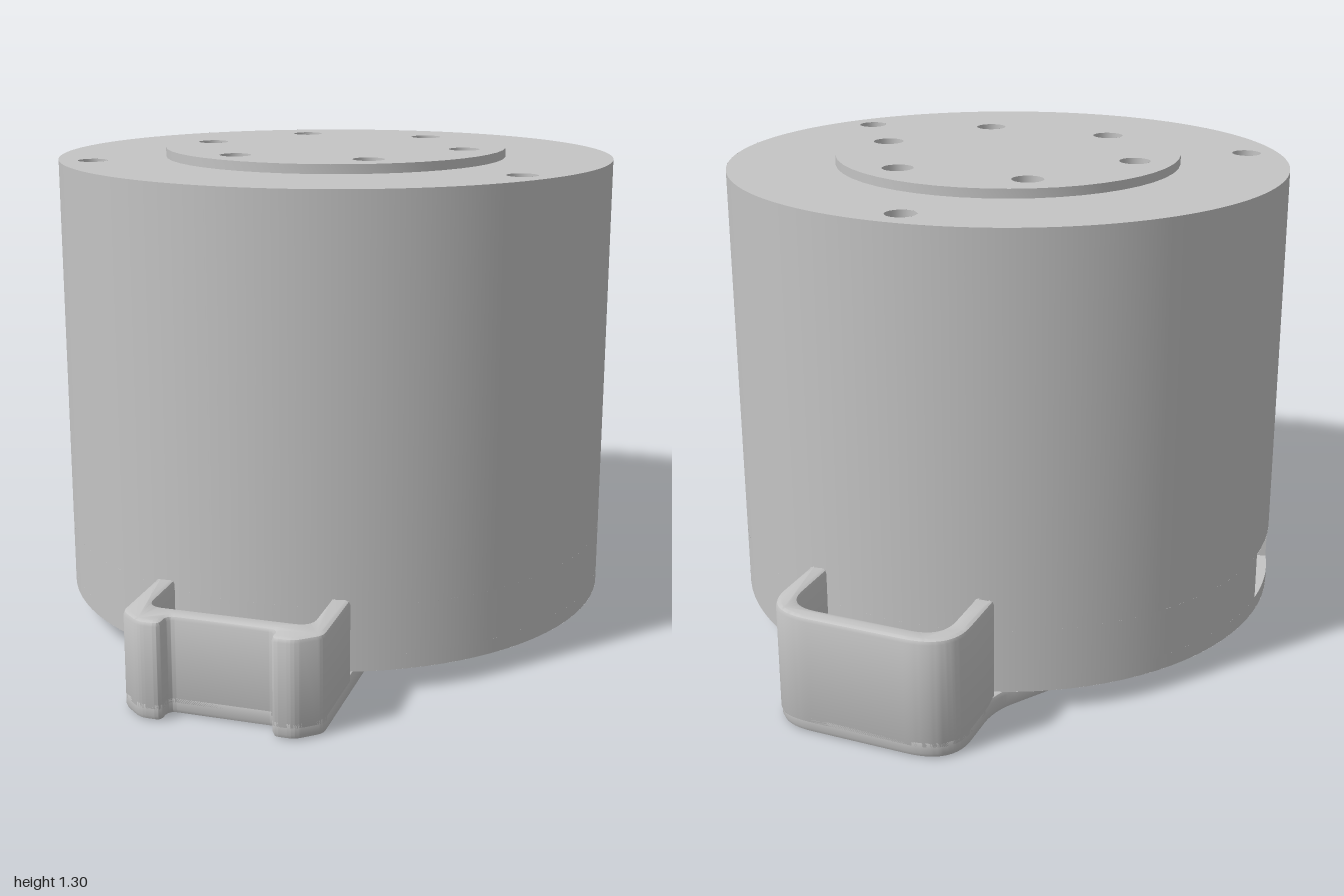
import * as THREE from 'three';
import { toCreasedNormals } from 'three/addons/utils/BufferGeometryUtils.js';

export function createModel() {
  const model = new THREE.Group();
  const grey = new THREE.MeshStandardMaterial({ color: 0xc4c4c4, side: THREE.DoubleSide });
  grey.name = 'plain grey';

  const R = 0.77, BOTTOM = 0.06, TOP = 1.28, CAP = 1.305, CZ = -0.01;

  const add = (name, geometry, parent = model) => {
    const mesh = new THREE.Mesh(geometry, grey);
    mesh.name = name;
    parent.add(mesh);
    return mesh;
  };

  // Closed outline from [x, z, cornerRadius] points, seen from above
  const outline = (points, defaultRadius = 0.02) => {
    const shape = new THREE.Shape();
    const v = points.map(([x, z]) => new THREE.Vector2(x, -z));
    points.forEach(([, , r = defaultRadius], i) => {
      const p = v[i];
      const a = v[(i + v.length - 1) % v.length], b = v[(i + 1) % v.length];
      const toward = (q) => p.clone().add(q.clone().sub(p).setLength(Math.min(r, q.distanceTo(p) * 0.45)));
      const s = toward(a), e = toward(b);
      if (i === 0) shape.moveTo(s.x, s.y); else shape.lineTo(s.x, s.y);
      shape.quadraticCurveTo(p.x, p.y, e.x, e.y);
    });
    shape.closePath();
    return shape;
  };

  const circle = (x, z, r) => new THREE.Path().absarc(x, -z, r, 0, Math.PI * 2, true);
  const disc = (r) => new THREE.Shape().absarc(0, 0, r, 0, Math.PI * 2, false);

  // Upright extrusion between two heights, with an optional bevel
  const slab = (shape, y0, y1, bevel = 0) => {
    const g = new THREE.ExtrudeGeometry(shape, {
      depth: y1 - y0 - 2 * bevel, curveSegments: 24, bevelEnabled: bevel > 0,
      bevelThickness: bevel, bevelSize: bevel, bevelOffset: -bevel, bevelSegments: 2,
    });
    g.rotateX(-Math.PI / 2).translate(0, y0 + bevel, 0);
    return toCreasedNormals(g, 0.6);
  };

  const sheet = (shape, y, faceUp) => {
    const g = new THREE.ShapeGeometry(shape, 64).rotateX(-Math.PI / 2).translate(0, y, 0);
    if (!faceUp) {
      const index = g.index.array;
      for (let i = 0; i < index.length; i += 3) [index[i], index[i + 1]] = [index[i + 1], index[i]];
      g.computeVertexNormals();
    }
    return g;
  };

  // Drum body
  const body = new THREE.Group();
  body.name = 'body';
  body.position.z = CZ;
  model.add(body);

  // Wall in three bands, the middle one interrupted by the side port
  const port = { low: 0.1, high: 0.235, from: Math.PI * 1.5 - 0.06, to: Math.PI * 1.5 + 0.3 };
  const wall = (name, y0, y1, start = 0, sweep = Math.PI * 2, r = R) =>
    add(name, new THREE.CylinderGeometry(r, r, y1 - y0, 96, 1, true, start, sweep)
      .translate(0, (y0 + y1) / 2, 0), body);
  wall('lowerWall', BOTTOM, port.low);
  wall('portBandWall', port.low, port.high, port.to, Math.PI * 2 - (port.to - port.from));
  wall('upperWall', port.high, TOP);

  // Lining of the side port
  const portDepth = 0.05;
  for (const [angle, name] of [[port.from, 'portRearSide'], [port.to, 'portFrontSide']]) {
    const side = add(name, new THREE.PlaneGeometry(portDepth, port.high - port.low), body);
    const r = R - portDepth / 2;
    side.position.set(Math.sin(angle) * r, (port.low + port.high) / 2, Math.cos(angle) * r);
    side.rotation.y = angle - Math.PI / 2;
  }
  for (const [y, name] of [[port.low, 'portSill'], [port.high, 'portLintel']]) {
    const g = new THREE.RingGeometry(R - portDepth, R, 12, 1, port.from - Math.PI / 2, port.to - port.from);
    add(name, g.rotateX(-Math.PI / 2).translate(0, y, 0), body);
  }

  // Blind round hole sunk from y0 to y1
  const socket = (name, x, z, r, open, end) => {
    add(name + 'Wall', new THREE.CylinderGeometry(r, r, Math.abs(open - end), 24, 1, true)
      .translate(x, (open + end) / 2, z), body);
    add(name + 'End', new THREE.CircleGeometry(r, 24)
      .rotateX(open > end ? -Math.PI / 2 : Math.PI / 2).translate(x, end, z), body);
  };

  // Top ring with three screw holes
  const ring = disc(R);
  ring.holes.push(circle(0, 0, 0.46));
  for (let i = 0; i < 3; i++) {
    const a = Math.PI / 6 + (i * Math.PI * 2) / 3;
    const x = Math.cos(a) * 0.68, z = Math.sin(a) * 0.68;
    ring.holes.push(circle(x, z, 0.04));
    socket('ringHole', x, z, 0.04, TOP, TOP - 0.12);
  }
  add('topRing', sheet(ring, TOP, true), body);

  // Raised cap with six screw holes
  const cap = disc(0.475);
  for (let i = 0; i < 6; i++) {
    const a = (i * Math.PI) / 3;
    const x = Math.cos(a) * 0.367, z = Math.sin(a) * 0.367;
    cap.holes.push(circle(x, z, 0.042));
    socket('capHole', x, z, 0.042, CAP, TOP - 0.08);
  }
  const capGeometry = slab(cap, TOP - 0.01, CAP);
  add('topCap', capGeometry, body);

  // Underside with its opening and screw holes
  const floor = disc(R);
  floor.holes.push(outline([[0.74, 0.07], [0.41, -0.31], [0.12, -0.31], [0.12, 0.36], [0.35, 0.32]], 0.005));
  for (const x of [-0.37, 0.37]) for (const z of [-0.37, 0.37]) {
    floor.holes.push(circle(x, z, 0.036));
    socket('floorHole', x, z, 0.036, BOTTOM, BOTTOM + 0.12);
  }
  add('underside', sheet(floor, BOTTOM, false), body);

  // Base plate, wider on the right
  const frontEdge = [[-0.26, 0.95], [-0.2, 1], [-0.14, 1], [-0.14, 0.95],
    [0.14, 0.95], [0.14, 1], [0.2, 1], [0.26, 0.95]];
  const plate = outline([...frontEdge,
    [0.26, 0.53, 0.05], [0.17, 0.42, 0.05], [0.17, -0.42, 0.05], [0.26, -0.54, 0.05],
    [0.26, -1, 0.13], [-0.26, -1, 0.13], [-0.26, -0.74, 0.06],
    [-0.46, -0.43, 0.06], [-0.46, 0.41, 0.06], [-0.26, 0.72, 0.06]]);
  for (const z of [-0.37, 0.37]) plate.holes.push(circle(-0.37, z + CZ, 0.04));
  add('basePlate', slab(plate, 0, 0.057, 0.014));

  // Upright clips at both ends of the plate
  const rearClip = outline([[-0.26, -0.74, 0.005], [-0.26, -1, 0.13], [0.26, -1, 0.13], [0.26, -0.74, 0.005],
    [0.21, -0.74, 0.005], [0.21, -0.95, 0.08], [-0.21, -0.95, 0.08], [-0.21, -0.74, 0.005]]);
  add('rearClip', slab(rearClip, 0.02, 0.325, 0.012));

  const frontClip = outline([[-0.26, 0.73, 0.005], ...frontEdge, [0.26, 0.73, 0.005],
    [0.21, 0.73, 0.005], [0.21, 0.9, 0.04], [-0.21, 0.9, 0.04], [-0.21, 0.73, 0.005]]);
  add('frontClip', slab(frontClip, 0.02, 0.26, 0.012));

  return model;
}
